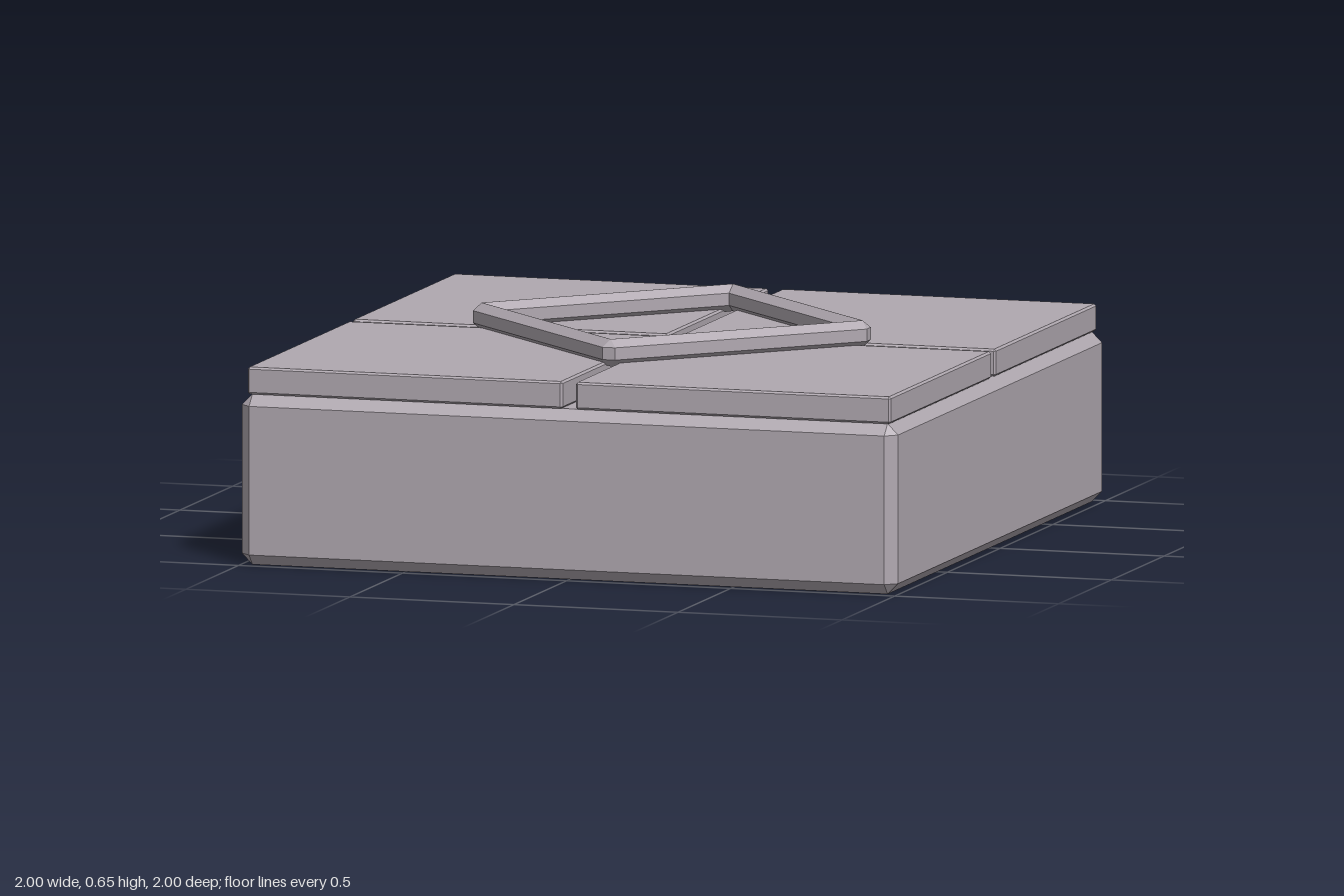
import * as THREE from 'three';
import { ConvexGeometry } from 'three/addons/geometries/ConvexGeometry.js';

// Box with every edge chamfered; c is the cut sideways, cy the cut in height
function chamferBox(w, h, d, c, cy = c) {
  const points = [];
  for (const sx of [-1, 1]) for (const sy of [-1, 1]) for (const sz of [-1, 1]) {
    const x = w / 2, y = h / 2, z = d / 2;
    points.push(
      new THREE.Vector3(sx * x, sy * (y - cy), sz * (z - c)),
      new THREE.Vector3(sx * (x - c), sy * y, sz * (z - c)),
      new THREE.Vector3(sx * (x - c), sy * (y - cy), sz * z)
    );
  }
  return new ConvexGeometry(points);
}

export function createModel() {
  const group = new THREE.Group();
  group.name = 'tiledFloorBlock';
  const stone = new THREE.MeshStandardMaterial({ color: 0xb0a8b0 });
  stone.name = 'greyStone';

  const add = (name, geometry, x, y, z, turn = 0) => {
    const mesh = new THREE.Mesh(geometry, stone);
    mesh.name = name;
    mesh.position.set(x, y, z);
    mesh.rotation.y = turn;
    group.add(mesh);
  };

  // Base block
  add('base', chamferBox(2, 0.5, 2, 0.032), 0, 0.25, 0);

  // Four slabs with a cross-shaped gap between them
  const slab = chamferBox(0.96, 0.08, 0.96, 0.006);
  for (const sx of [-1, 1]) for (const sz of [-1, 1]) add('slab', slab, sx * 0.5, 0.54, sz * 0.5);

  // Raised diamond frame: four ridged bars overlapping at the corners
  const reach = 0.58, width = 0.055;
  const bar = chamferBox(reach * Math.SQRT2 + width, 0.08, width, 0.027, 0.022);
  for (const sx of [-1, 1]) for (const sz of [-1, 1]) {
    add('diamondBar', bar, sx * reach / 2, 0.61, sz * reach / 2, sx * sz * Math.PI / 4);
  }

  return group;
}
